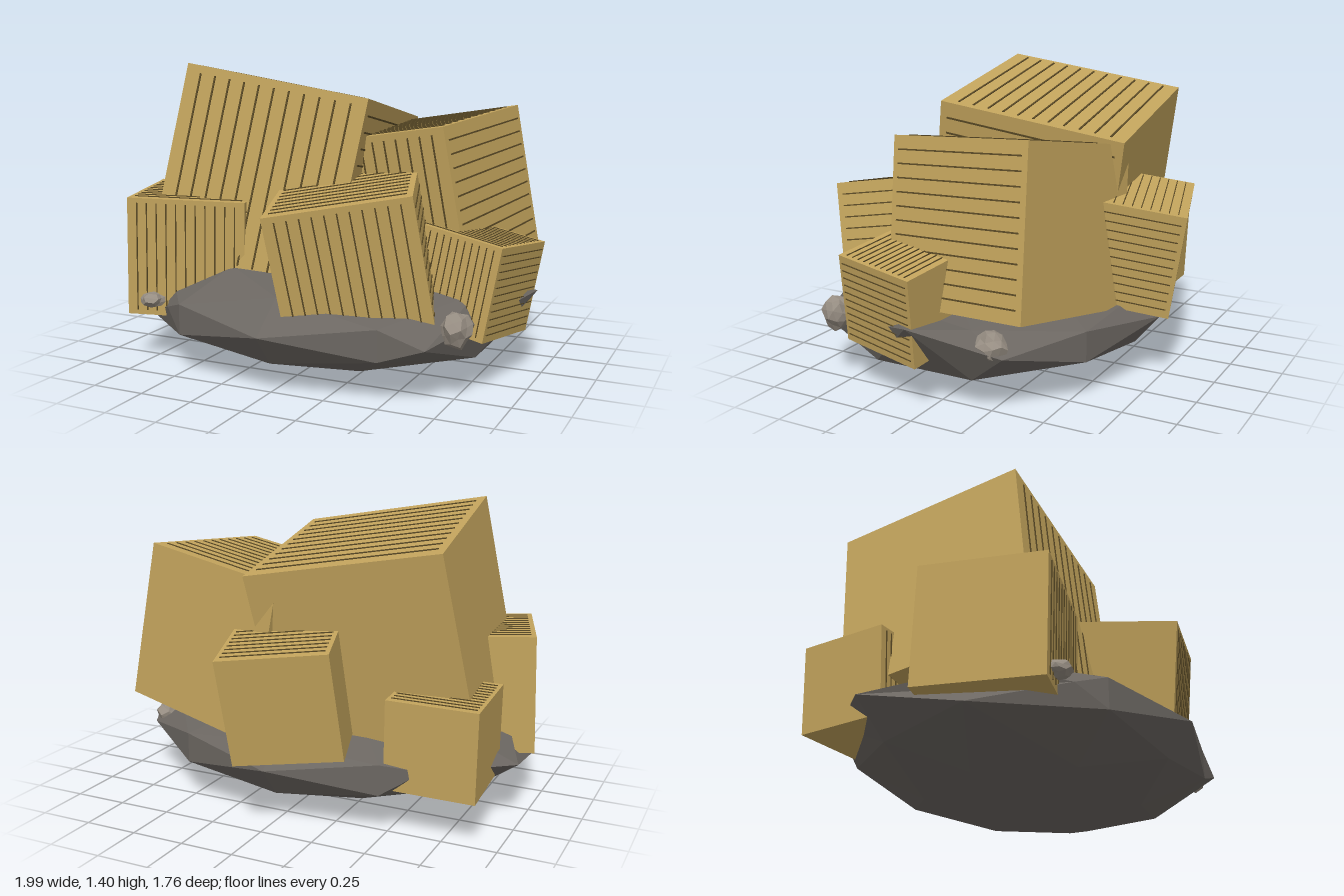
import * as THREE from 'three';
import { mergeGeometries } from 'three/addons/utils/BufferGeometryUtils.js';

const V = (a) => new THREE.Vector3(...a);
const material = (name, color) => {
  const m = new THREE.MeshStandardMaterial({ color });
  m.name = name;
  return m;
};

// Cubes: centre of the top face, side length, x and z directions of the cube
const CUBES = [
  ['mainCube', [-0.236, 1.258, -0.11], 0.907, [0.982, -0.165, -0.083], [0.107, 0.16, 0.981]],
  ['tallSideCube', [0.314, 1.112, -0.121], 0.75, [0.97, 0.159, 0.176], [-0.167, -0.071, 0.983]],
  ['frontCube', [0.209, 0.874, 0.443], 0.64, [0.942, 0.167, -0.288], [0.309, -0.114, 0.944]],
  ['frontRightCube', [-0.625, 0.789, 0.295], 0.557, [0.955, -0.027, -0.297], [0.303, -0.02, 0.955]],
  ['smallLeftCube', [0.755, 0.67, 0.163], 0.42, [0.963, -0.155, 0.2], [-0.19, 0.09, 0.975]],
  ['backCube', [-0.03, 0.863, -0.587], 0.495, [0.957, -0.108, -0.268], [0.282, 0.146, 0.95]],
  ['backRightCube', [-0.7, 0.63, -0.345], 0.41, [1, 0.024, -0.05], [0.067, 0.037, 0.997]],
];

// Eleven thin ridges on the top, front and left faces, each face with its own direction
function striations(s) {
  const parts = [];
  const count = 11, width = 0.009 * s, lift = 0.004, long = 0.92 * s;
  for (let i = 1; i <= count; i++) {
    const t = (i / (count + 1) - 0.5) * s;
    parts.push(new THREE.BoxGeometry(long, lift, width).translate(0, s / 2 + lift / 2, t));
    parts.push(new THREE.BoxGeometry(width, long, lift).translate(t, 0, s / 2 + lift / 2));
    parts.push(new THREE.BoxGeometry(lift, width, long).translate(s / 2 + lift / 2, t, 0));
  }
  return mergeGeometries(parts);
}

function crystal([name, top, s, xDir, zDir], gold, dark) {
  const x = V(xDir).normalize();
  const y = V(zDir).cross(x).normalize();
  const z = x.clone().cross(y);
  const group = new THREE.Group();
  group.name = name;
  const body = new THREE.Mesh(new THREE.BoxGeometry(s, s, s), gold);
  body.name = 'cubeBody';
  const ridges = new THREE.Mesh(striations(s), dark);
  ridges.name = 'striations';
  group.add(body, ridges);
  group.quaternion.setFromRotationMatrix(new THREE.Matrix4().makeBasis(x, y, z));
  group.position.copy(V(top)).addScaledVector(y, -s / 2);
  return group;
}

// Local pushes on the rock: direction on the unit ball, then offset
const DENTS = [
  [[1, 0, 0], [0.01, 0.12, -0.04]],
  [[-1, 0, 0], [-0.02, 0, -0.24]],
  [[0.85, 0, 0.526], [-0.14, -0.02, 0.2]],
  [[-0.85, 0, 0.526], [0.22, 0.01, 0.14]],
  [[-0.85, 0, -0.526], [0.15, 0.04, -0.18]],
  [[-0.809, -0.5, 0.309], [-0.14, 0.02, 0]],
  [[-0.309, 0.809, 0.5], [-0.05, 0.05, 0]],
  [[0, 0.526, 0.85], [0, 0.04, -0.06]],
  [[0.809, 0.5, 0.309], [0, 0.06, 0]],
].map(([d, o]) => [V(d), V(o)]);

// Squashed ball of flat facets, shallower on top than below
function rockGeometry() {
  const geo = new THREE.IcosahedronGeometry(1, 1);
  const pos = geo.attributes.position;
  const d = new THREE.Vector3(), p = new THREE.Vector3();
  for (let i = 0; i < pos.count; i++) {
    d.fromBufferAttribute(pos, i);
    p.set(d.x * 0.97, 0.28 + d.y * (d.y < 0 ? 0.275 : 0.18), 0.075 + d.z * 0.8);
    for (const [dir, offset] of DENTS) {
      p.addScaledVector(offset, Math.exp(-d.distanceToSquared(dir) / 0.06));
    }
    pos.setXYZ(i, p.x, p.y, p.z);
  }
  geo.computeVertexNormals();
  return geo;
}

// Pebbles: centre, half sizes, turn
const PEBBLES = [
  [[-0.7, 0.31, 0.62], [0.06, 0.036, 0.05], 0.4],
  [[0.77, 0.325, 0.55], [0.065, 0.08, 0.07], 0.9],
  [[0.79, 0.315, -0.27], [0.06, 0.068, 0.075], 2.1],
];

function pebble([at, size, turn], mat) {
  const geo = new THREE.IcosahedronGeometry(1, 1);
  const pos = geo.attributes.position;
  const d = new THREE.Vector3();
  for (let i = 0; i < pos.count; i++) {
    d.fromBufferAttribute(pos, i);
    d.multiplyScalar(1 + 0.12 * Math.sin(5 * d.x + 3 * d.y + 7 * d.z + turn));
    pos.setXYZ(i, d.x, d.y, d.z);
  }
  geo.rotateZ(turn).scale(...size);
  geo.computeVertexNormals();
  const mesh = new THREE.Mesh(geo, mat);
  mesh.name = 'pebble';
  mesh.position.set(...at);
  return mesh;
}

export function createModel() {
  const gold = material('brassy gold', 0xc2a35c);
  const dark = material('dark bronze', 0x5a4a26);
  const stone = material('dark grey stone', 0x6b6661);
  const pale = material('pale grey stone', 0x968d82);

  const model = new THREE.Group();
  model.name = 'crystalCluster';
  const rock = new THREE.Mesh(rockGeometry(), stone);
  rock.name = 'rockBase';
  model.add(rock);
  for (const c of CUBES) model.add(crystal(c, gold, dark));
  for (const p of PEBBLES) model.add(pebble(p, pale));
  return model;
}
